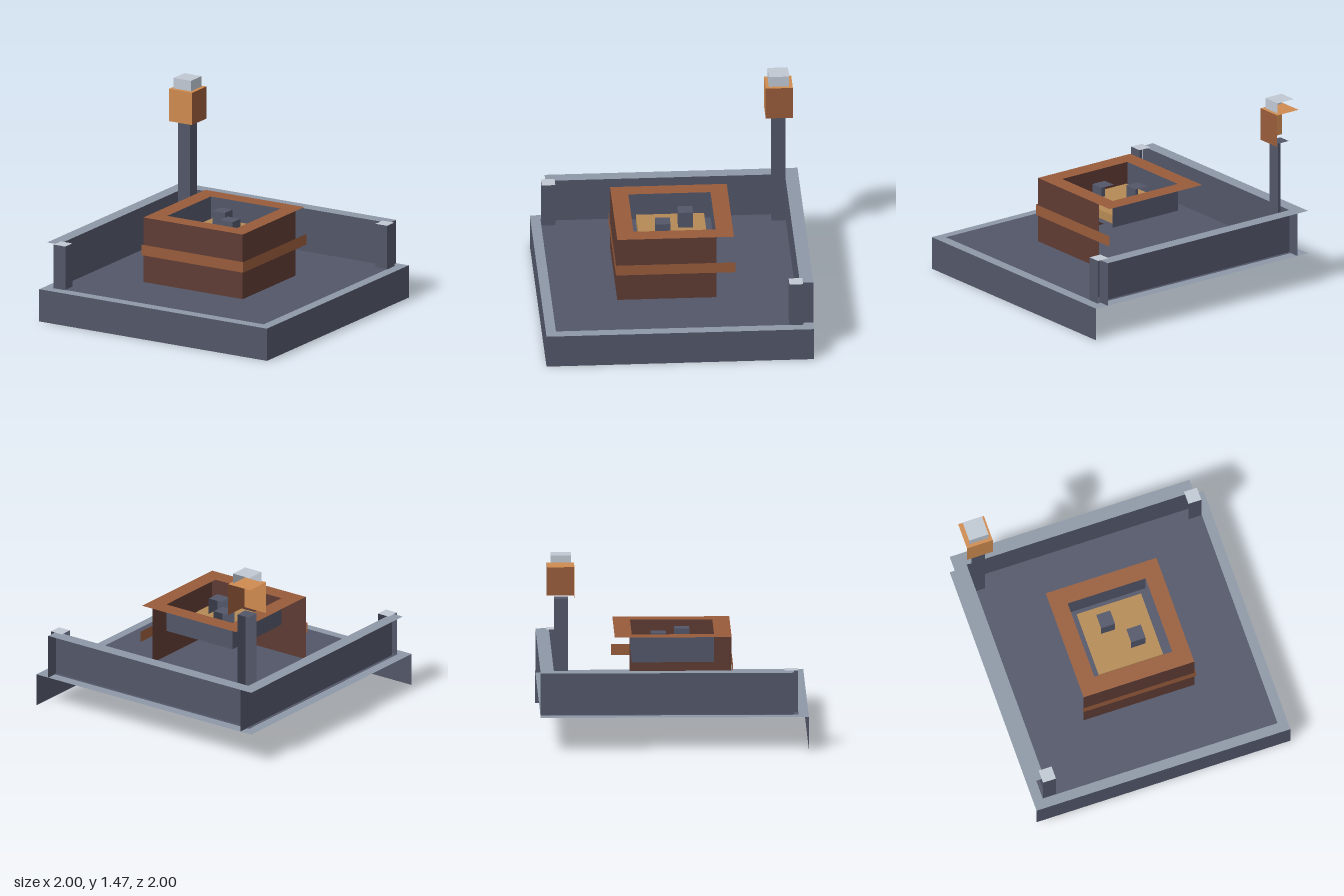
import * as THREE from 'three';

const mat = (name, color) => {
  const m = new THREE.MeshStandardMaterial({ color, side: THREE.DoubleSide });
  m.name = name;
  return m;
};

export function createModel() {
  const slate = mat('slate', 0x525668);
  const rimGrey = mat('rim grey', 0x8d98a7);
  const paleGrey = mat('pale grey', 0xc0c8d3);
  const darkBrown = mat('dark brown', 0x5e3b33);
  const rust = mat('rust', 0x985c3b);
  const orange = mat('orange', 0xce8b50);
  const tan = mat('tan', 0xb58a55);

  const root = new THREE.Group();
  root.name = 'courtyard';

  const add = (parent, name, geo, material) => {
    const mesh = new THREE.Mesh(geo, material);
    mesh.name = name;
    parent.add(mesh);
    return mesh;
  };
  // Single panels facing +x, +y and +z
  const faceX = (parent, name, x, [y0, y1], [z0, z1], m) =>
    add(parent, name, new THREE.PlaneGeometry(z1 - z0, y1 - y0).rotateY(Math.PI / 2)
      .translate(x, (y0 + y1) / 2, (z0 + z1) / 2), m);
  const faceY = (parent, name, y, [x0, x1], [z0, z1], m) =>
    add(parent, name, new THREE.PlaneGeometry(x1 - x0, z1 - z0).rotateX(-Math.PI / 2)
      .translate((x0 + x1) / 2, y, (z0 + z1) / 2), m);
  const faceZ = (parent, name, z, [x0, x1], [y0, y1], m) =>
    add(parent, name, new THREE.PlaneGeometry(x1 - x0, y1 - y0)
      .translate((x0 + x1) / 2, (y0 + y1) / 2, z), m);

  // Block made of its three forward panels only
  const block = (name, x, y, z, side, top, front) => {
    const g = new THREE.Group();
    g.name = name;
    root.add(g);
    faceX(g, name + 'Side', x[1], y, z, side);
    faceY(g, name + 'Top', y[1], x, z, top);
    faceZ(g, name + 'Front', z[1], x, y, front);
  };
  // Flat square frame
  const frame = (name, y, outer, inner, m) => {
    const square = (r, T) => new T([[-r, -r], [r, -r], [r, r], [-r, r]].map(p => new THREE.Vector2(...p)));
    const shape = square(outer, THREE.Shape);
    shape.holes.push(square(inner, THREE.Path));
    add(root, name, new THREE.ShapeGeometry(shape).rotateX(-Math.PI / 2).translate(0, y, 0), m);
  };

  // Base slab with a pale top, and the darker floor laid on it
  block('base', [-1, 1], [0, 0.25], [-1, 1], slate, rimGrey, slate);
  faceY(root, 'floor', 0.254, [-0.925, 0.925], [-0.925, 0.925], slate);

  // Two boundary walls
  const wallY = [0.25, 0.586];
  faceZ(root, 'backWall', -0.9, [-0.9, 0.89], wallY, slate);
  faceX(root, 'backWallEnd', 0.89, wallY, [-1, -0.9], slate);
  faceY(root, 'backWallRim', 0.586, [-1, 0.89], [-1, -0.9], rimGrey);
  faceX(root, 'sideWall', -0.9, wallY, [-1, 0.89], slate);
  faceY(root, 'sideWallRim', 0.586, [-1, -0.9], [-0.9, 0.89], rimGrey);

  // Corner posts
  const lo = [-0.922, -0.82], hi = [0.82, 0.922];
  block('backPost', hi, [0.25, 0.589], lo, slate, paleGrey, slate);
  block('frontPost', lo, [0.25, 0.589], hi, slate, paleGrey, slate);

  // Lamp tower
  block('towerPole', [-0.897, -0.794], [0.25, 1.133], [-0.897, -0.794], slate, slate, slate);
  block('lampHead', [-0.95, -0.747], [1.133, 1.383], [-0.95, -0.747], rust, orange, orange);
  block('lampCap', [-0.924, -0.772], [1.385, 1.466], [-0.924, -0.772], paleGrey, paleGrey, paleGrey);

  // Central basin with its band
  faceZ(root, 'basinFront', 0.436, [-0.436, 0.436], [0.25, 0.755], darkBrown);
  faceX(root, 'basinSide', 0.436, [0.25, 0.755], [-0.307, 0.436], darkBrown);
  frame('basinRim', 0.755, 0.436, 0.307, rust);
  faceZ(root, 'bandFront', 0.446, [-0.446, 0.446], [0.463, 0.545], rust);
  faceX(root, 'bandSide', 0.446, [0.463, 0.545], [-0.446, 0.446], rust);

  // Inside of the basin
  const pit = [-0.307, 0.307], pitY = [0.543, 0.755];
  faceZ(root, 'pitBack', -0.307, pit, pitY, slate);
  faceX(root, 'pitSide', -0.307, pitY, pit, slate);
  faceY(root, 'pitFloor', 0.543, pit, pit, slate);
  block('pitBed', [-0.255, 0.253], [0.543, 0.61], [-0.255, 0.253], tan, tan, tan);
  block('backCube', [-0.133, -0.023], [0.61, 0.733], [-0.16, -0.048], slate, slate, slate);
  block('frontCube', [0.043, 0.157], [0.61, 0.733], [0.02, 0.13], slate, slate, slate);

  return root;
}
